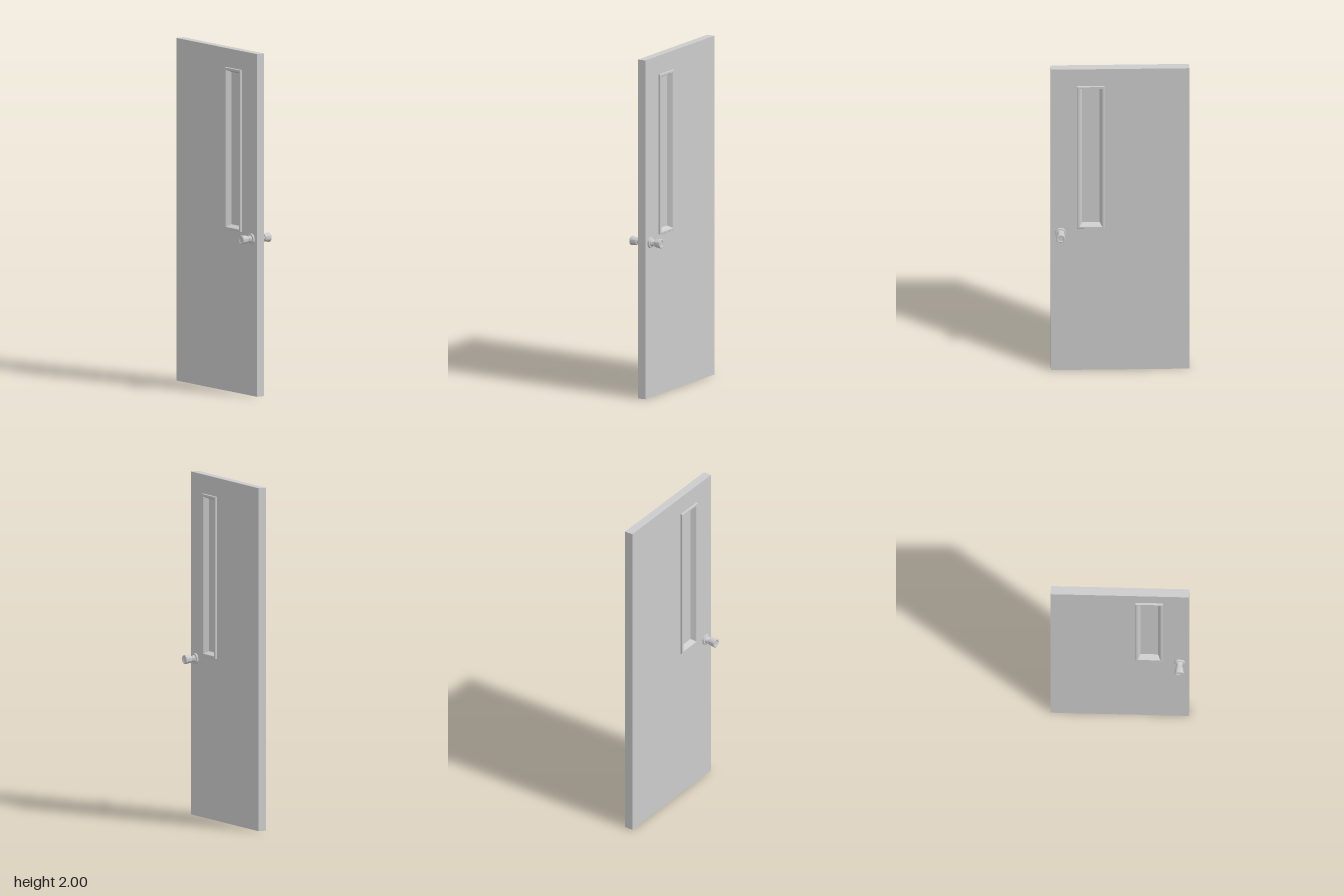
import * as THREE from 'three';
import { toCreasedNormals } from 'three/addons/utils/BufferGeometryUtils.js';

const material = new THREE.MeshStandardMaterial({ color: 0xcccccc });

// window trim outer bounds
const win = { x: 0.169, y: 1.417, w: 0.158, h: 0.945 };
const DOOR_HALF = 0.025;

function part(name, geometry) {
  const mesh = new THREE.Mesh(geometry, material);
  mesh.name = name;
  return mesh;
}

function rectangle(PathType, x0, y0, x1, y1) {
  return new PathType([[x0, y0], [x1, y0], [x1, y1], [x0, y1]].map(p => new THREE.Vector2(...p)));
}

// sweeps a mitred [inset, z] profile around a rectangle
function mitredFrame(w, h, profile) {
  const corners = [[-1, -1], [1, -1], [1, 1], [-1, 1]];
  const point = (k, s) => {
    const [sx, sy] = corners[k % 4];
    const [inset, z] = profile[s];
    return [sx * (w / 2 - inset), sy * (h / 2 - inset), z];
  };
  const positions = [];
  for (let k = 0; k < 4; k++) {
    for (let s = 0; s < profile.length - 1; s++) {
      const a = point(k, s), b = point(k + 1, s), c = point(k + 1, s + 1), d = point(k, s + 1);
      positions.push(...a, ...b, ...c, ...a, ...c, ...d);
    }
  }
  const geometry = new THREE.BufferGeometry();
  geometry.setAttribute('position', new THREE.Float32BufferAttribute(positions, 3));
  geometry.computeVertexNormals();
  return geometry;
}

// turned part along +z from [radius, z] pairs
function turned(points) {
  const lathe = new THREE.LatheGeometry(points.map(p => new THREE.Vector2(...p)), 40);
  return toCreasedNormals(lathe.rotateX(Math.PI / 2), 0.5);
}

export function createModel() {
  const door = new THREE.Group();
  door.name = 'door';

  // slab with the window opening cut through
  const slab = rectangle(THREE.Shape, -0.4, 0, 0.4, 2);
  const hw = win.w / 2 - 0.014, hh = win.h / 2 - 0.014;
  slab.holes.push(rectangle(THREE.Path, win.x - hw, win.y - hh, win.x + hw, win.y + hh));
  const slabGeometry = new THREE.ExtrudeGeometry(slab, { depth: 2 * DOOR_HALF, bevelEnabled: false });
  door.add(part('slab', slabGeometry.translate(0, 0, -DOOR_HALF)));

  // pane in the middle of the opening
  const pane = part('windowPane', new THREE.BoxGeometry(win.w - 0.05, win.h - 0.05, 0.01));
  pane.position.set(win.x, win.y, 0);
  door.add(pane);

  // trim: raised lip, then a bevel running in to the pane
  const trimGeometry = mitredFrame(win.w, win.h, [
    [0, DOOR_HALF], [0, 0.035], [0.002, 0.037], [0.013, 0.037], [0.015, 0.035], [0.028, 0.005],
  ]);

  // knob set: rosette, stepped neck and flared grip with a dished end
  const rosetteGeometry = turned([
    [0.032, DOOR_HALF], [0.032, 0.033], [0.03, 0.035], [0.022, 0.036],
  ]);
  const neckGeometry = turned([
    [0.022, 0.036], [0.021, 0.041], [0.018, 0.045], [0.018, 0.05], [0.015, 0.053], [0.015, 0.06],
  ]);
  const gripGeometry = turned([
    [0, 0.059], [0.02, 0.059], [0.022, 0.061], [0.027, 0.095], [0.0265, 0.099],
    [0.024, 0.101], [0.019, 0.101], [0.016, 0.098], [0, 0.097],
  ]);

  // the same fittings on both faces
  for (const [side, turn] of [['front', 0], ['back', Math.PI]]) {
    const trim = part(side + 'WindowTrim', trimGeometry);
    trim.position.set(win.x, win.y, 0);
    trim.rotation.y = turn;

    const knob = new THREE.Group();
    knob.name = side + 'Knob';
    knob.add(part('rosette', rosetteGeometry), part('neck', neckGeometry), part('grip', gripGeometry));
    knob.position.set(0.344, 0.915, 0);
    knob.rotation.y = turn;
    door.add(trim, knob);
  }
  return door;
}
